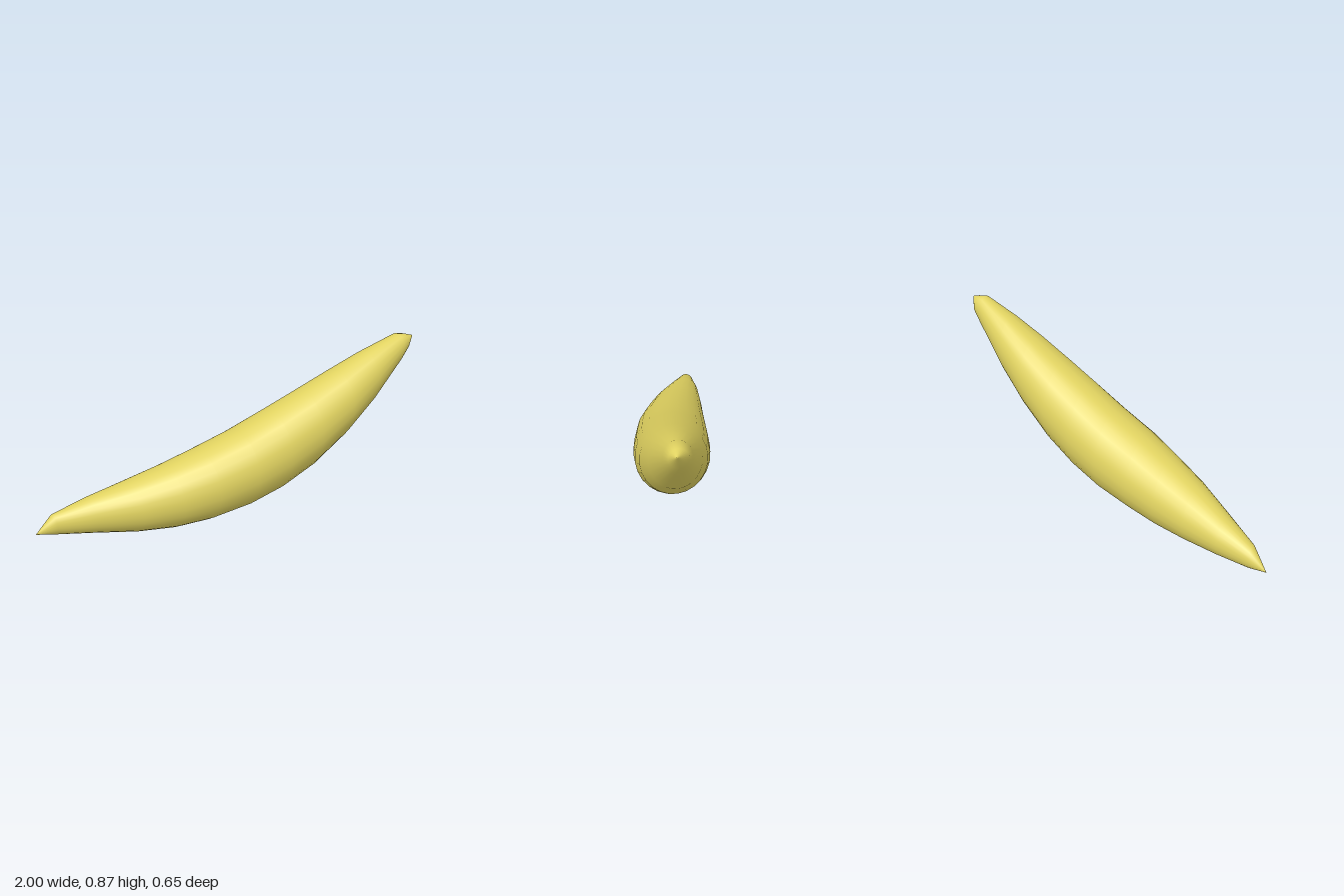
import * as THREE from 'three';

// Cross-sections along the length: x, bottom y, top y, back z, front z
const SECTIONS = [
  [-1, 0.065, 0.065, -0.31, -0.31],
  [-0.91, 0.05, 0.165, -0.327, -0.235],
  [-0.74, 0.032, 0.23, -0.312, -0.12],
  [-0.55, 0.012, 0.295, -0.28, 0.01],
  [-0.37, 0.004, 0.355, -0.243, 0.105],
  [-0.2, 0.018, 0.415, -0.208, 0.18],
  [0, 0.05, 0.485, -0.165, 0.237],
  [0.18, 0.108, 0.562, -0.12, 0.278],
  [0.36, 0.2, 0.64, -0.068, 0.308],
  [0.55, 0.338, 0.725, 0, 0.324],
  [0.72, 0.49, 0.8, 0.075, 0.32],
  [0.91, 0.7, 0.87, 0.172, 0.302],
  [0.96, 0.765, 0.86, 0.2, 0.29],
  [1, 0.84, 0.848, 0.257, 0.267],
  [1, 0.844, 0.844, 0.262, 0.262],
];
const SIDES = 24;
const LEAN = 0.1; // slight lean of the oval sections

// Joins the oval sections into one closed smooth skin
function loft(sections) {
  const positions = [];
  const index = [];
  sections.forEach(([x, y0, y1, z0, z1], i) => {
    for (let j = 0; j < SIDES; j++) {
      const t = (j / SIDES) * Math.PI * 2;
      positions.push(
        x,
        (y0 + y1) / 2 + ((y1 - y0) / 2) * Math.sin(t),
        (z0 + z1) / 2 + ((z1 - z0) / 2) * Math.cos(t - LEAN)
      );
      if (i === sections.length - 1) continue;
      const a = i * SIDES + j;
      const b = i * SIDES + ((j + 1) % SIDES);
      index.push(a, a + SIDES, b, b, a + SIDES, b + SIDES);
    }
  });
  const geometry = new THREE.BufferGeometry();
  geometry.setAttribute('position', new THREE.Float32BufferAttribute(positions, 3));
  geometry.setIndex(index);
  geometry.computeVertexNormals();
  return geometry;
}

export function createModel() {
  const group = new THREE.Group();
  group.name = 'banana';

  // Curved fruit body with tapered ends
  const peel = new THREE.Mesh(loft(SECTIONS), new THREE.MeshStandardMaterial({ color: 0xe0d260 }));
  peel.name = 'peel';
  group.add(peel);
  return group;
}
